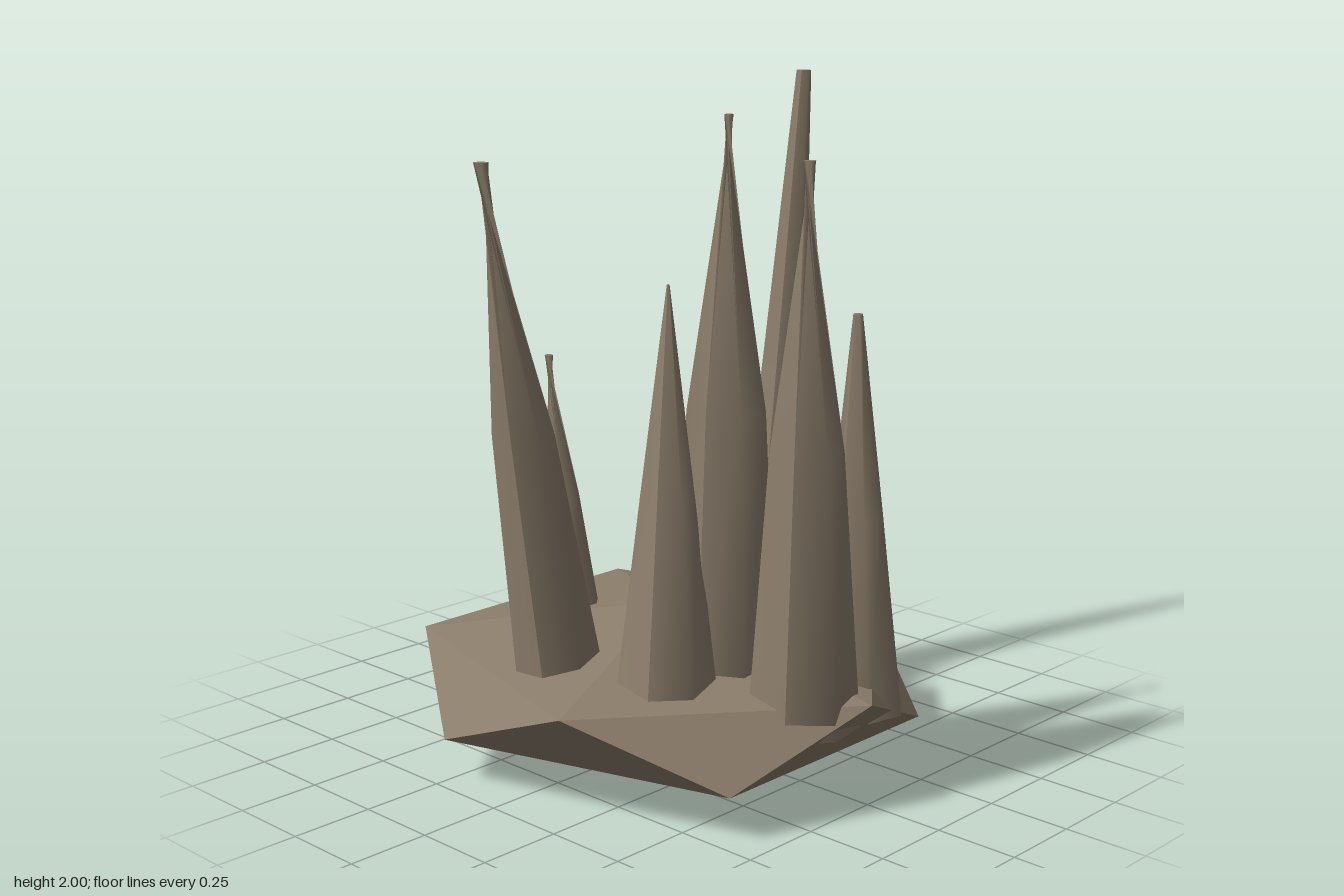
import * as THREE from 'three';
import { ConvexGeometry } from 'three/addons/geometries/ConvexGeometry.js';

const rock = new THREE.MeshStandardMaterial({ color: 0x8b7d6b, flatShading: true });
const crystal = new THREE.MeshStandardMaterial({ color: 0x8b7d6b, side: THREE.DoubleSide });

// Flattened icosahedron: two poles and two staggered rings of five
function createBase() {
  const points = [new THREE.Vector3(0, 0, 0.04), new THREE.Vector3(0, 0.45, 0.04)];
  for (let i = 0; i < 10; i++) {
    const a = (i * Math.PI) / 5;
    points.push(new THREE.Vector3(0.79 * Math.cos(a), i % 2 ? 0.13 : 0.32, 0.04 + 0.715 * Math.sin(a)));
  }
  const mesh = new THREE.Mesh(new ConvexGeometry(points), rock);
  mesh.name = 'rockBase';
  return mesh;
}

// Seven-sided leaning spike; a negative tip radius pinches the sides through
// the axis and flares them again at the top
function createSpike(name, base, tip, radii, turn) {
  const geometry = new THREE.CylinderGeometry(1, 1, 1, 7, 2, false, turn);
  const from = new THREE.Vector3(...base);
  const to = new THREE.Vector3(...tip);
  const pos = geometry.attributes.position;
  const p = new THREE.Vector3();
  for (let i = 0; i < pos.count; i++) {
    const t = pos.getY(i) + 0.5;
    const r = radii[Math.round(t * 2)];
    p.lerpVectors(from, to, t);
    pos.setXYZ(i, p.x + pos.getX(i) * r, p.y, p.z + pos.getZ(i) * r);
  }
  geometry.computeVertexNormals();
  const mesh = new THREE.Mesh(geometry, crystal);
  mesh.name = name;
  return mesh;
}

export function createModel() {
  const group = new THREE.Group();
  group.name = 'crystalCluster';
  group.add(createBase());

  // name, base centre, tip centre, radii at base / middle / tip, turn
  const spikes = [
    ['backTallSpike', [-0.085, 0.28, -0.505], [-0.115, 2.0, -0.7], [0.112, 0.067, 0.024], 0.44],
    ['backShortSpike', [-0.05, 0.3, -0.25], [-0.05, 1.1, -0.25], [0.158, 0.08, -0.005], 0.38],
    ['frontSpike', [-0.05, 0.28, 0.435], [-0.085, 1.81, 0.672], [0.132, 0.09, -0.021], 0.45],
    ['centreSpike', [0.315, 0.28, 0.125], [0.317, 1.93, 0.125], [0.157, 0.115, -0.013], 0.2],
    ['leftTallSpike', [0.59, 0.23, 0.105], [0.585, 1.82, 0.098], [0.165, 0.107, -0.018], 0.41],
    ['leftBackSpike', [0.605, 0.22, -0.13], [0.59, 1.38, -0.115], [0.138, 0.078, 0.014], 0],
    ['leftFrontSpike', [0.29, 0.28, 0.35], [0.197, 1.46, 0.24], [0.153, 0.08, 0.004], 0.43],
    ['rightSmallSpike', [-0.318, 0.3, 0.135], [-0.387, 1.17, 0.157], [0.102, 0.06, -0.013], 0.1],
  ];
  for (const spike of spikes) group.add(createSpike(...spike));
  return group;
}
